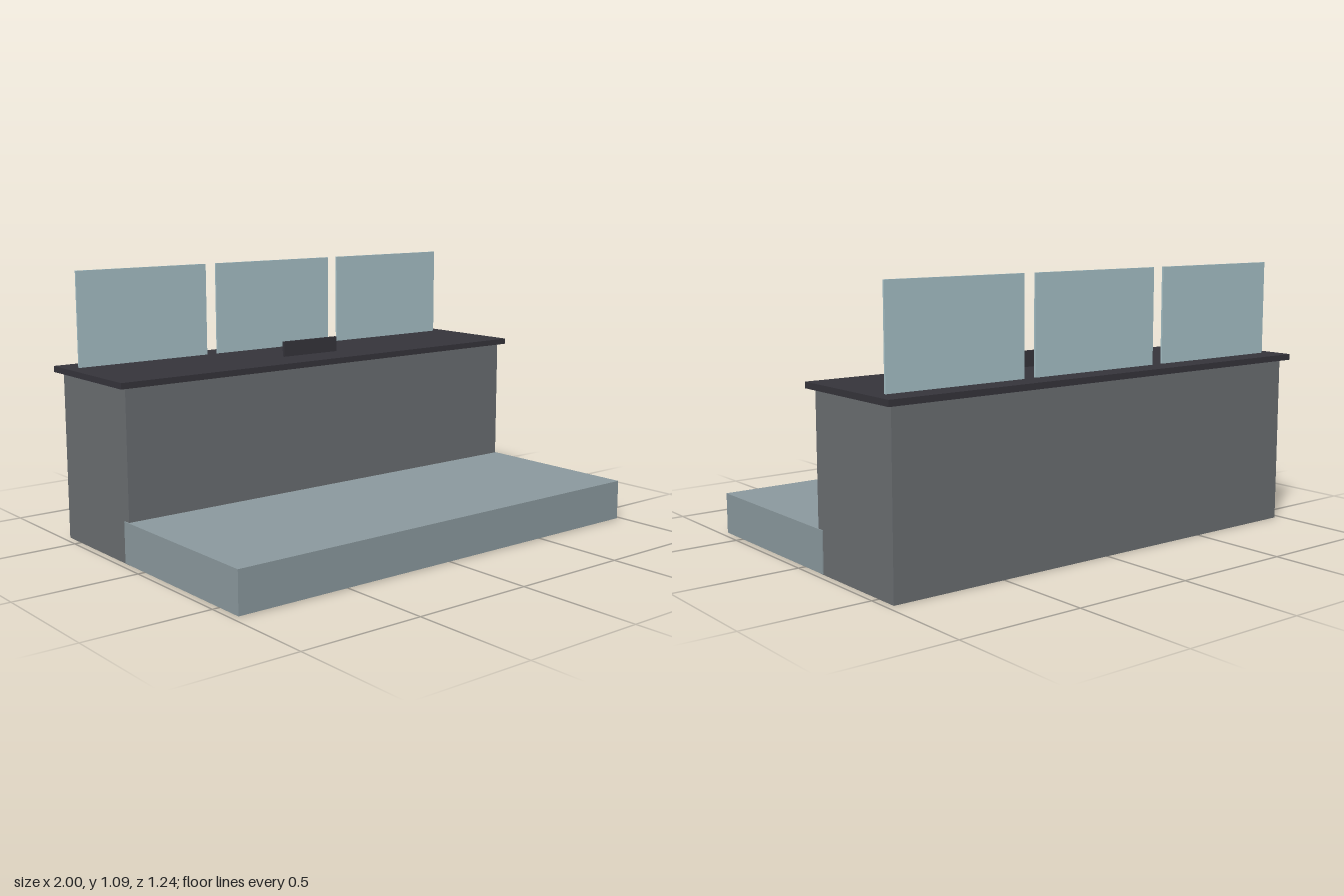
import * as THREE from 'three';

function material(name, color) {
  const m = new THREE.MeshStandardMaterial({ color });
  m.name = name;
  return m;
}

export function createModel() {
  const group = new THREE.Group();
  const stone = material('paleStone', 0x8b999e);
  const grey = material('counterGrey', 0x6a6e71);
  const dark = material('darkTop', 0x35343b);
  const glass = material('paleGlass', 0xa6c0c7);

  // Box given by its extents on each axis
  function box(name, mat, [x0, x1], [y0, y1], [z0, z1]) {
    const mesh = new THREE.Mesh(new THREE.BoxGeometry(x1 - x0, y1 - y0, z1 - z0), mat);
    mesh.position.set((x0 + x1) / 2, (y0 + y1) / 2, (z0 + z1) / 2);
    mesh.name = name;
    group.add(mesh);
  }

  // Low platform running under the front of the counter
  box('platform', stone, [-0.976, 0.976], [0.003, 0.167], [-0.135, 0.622]);

  // Counter with its overhanging top
  box('counterBody', grey, [-0.972, 0.972], [0, 0.68], [-0.593, -0.105]);
  box('counterTop', dark, [-1, 1], [0.68, 0.704], [-0.622, -0.083]);

  // Small upright plate on the counter
  box('standingPlate', dark, [-0.139, 0.139], [0.704, 0.767], [-0.261, -0.249]);

  // Row of three screens near the back edge
  for (const i of [-1, 0, 1]) {
    const x = i * 0.647 - 0.002;
    box('screenPanel', glass, [x - 0.298, x + 0.298], [0.704, 1.085], [-0.517, -0.509]);
  }

  return group;
}
